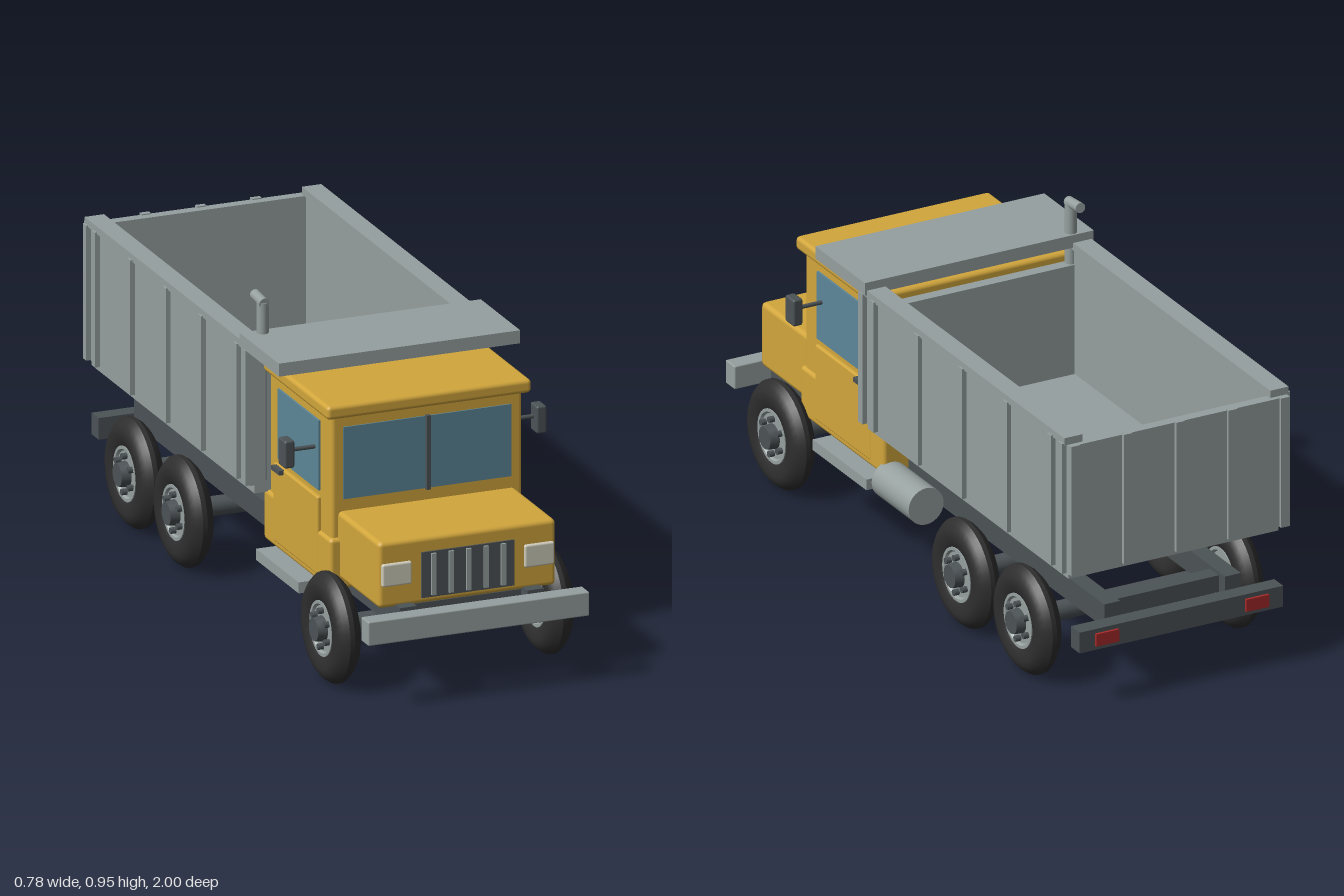
import * as THREE from 'three';
import { RoundedBoxGeometry } from 'three/addons/geometries/RoundedBoxGeometry.js';
import { toCreasedNormals } from 'three/addons/utils/BufferGeometryUtils.js';

export function createModel() {
  const truck = new THREE.Group();
  truck.name = 'dumpTruck';

  const paint = (name, color) => {
    const m = new THREE.MeshStandardMaterial({ color });
    m.name = name;
    return m;
  };
  const yellow = paint('cab yellow', 0xd2a63c);
  const grey = paint('body grey', 0x96a09f);
  const dark = paint('chassis grey', 0x4c5356);
  const rubber = paint('tyre black', 0x2e2e2e);
  const glass = paint('window blue', 0x5d8799);
  const cream = paint('headlamp cream', 0xd0cdbc);
  const red = paint('tail lamp red', 0xa82a2a);

  const add = (name, geo, mat, parent = truck) => {
    const m = new THREE.Mesh(geo, mat);
    m.name = name;
    parent.add(m);
    return m;
  };
  // box from its limits on each axis; r rounds the edges
  const box = (name, mat, [x0, x1], [y0, y1], [z0, z1], r = 0) => {
    const s = [x1 - x0, y1 - y0, z1 - z0];
    const geo = r ? new RoundedBoxGeometry(...s, 2, r) : new THREE.BoxGeometry(...s);
    const m = add(name, geo, mat);
    m.position.set((x0 + x1) / 2, (y0 + y1) / 2, (z0 + z1) / 2);
    return m;
  };
  // the same box on both sides
  const pair = (name, mat, [x0, x1], y, z, r) => {
    box(name + 'Left', mat, [x0, x1], y, z, r);
    box(name + 'Right', mat, [-x1, -x0], y, z, r);
  };
  // cylinder between two points
  const rod = (name, mat, a, b, r, sides = 20) => {
    const p = new THREE.Vector3(...a), q = new THREE.Vector3(...b);
    const d = q.clone().sub(p);
    const m = add(name, new THREE.CylinderGeometry(r, r, d.length(), sides), mat);
    m.position.copy(p).add(q).multiplyScalar(0.5);
    m.quaternion.setFromUnitVectors(new THREE.Vector3(0, 1, 0), d.normalize());
    return m;
  };

  // chassis frame
  pair('frameRail', dark, [0.165, 0.215], [0.21, 0.28], [-0.94, 0.95]);
  for (const z of [-0.88, -0.52, -0.12, 0.88]) {
    box('crossMember', dark, [-0.17, 0.17], [0.22, 0.27], [z - 0.025, z + 0.025]);
  }
  box('frontBumper', grey, [-0.33, 0.33], [0.2, 0.27], [0.947, 1], 0.004);
  box('rearBumper', dark, [-0.32, 0.32], [0.175, 0.238], [-0.99, -0.94]);
  pair('tailLamp', red, [0.2, 0.272], [0.188, 0.225], [-0.998, -0.989]);
  pair('step', grey, [0.2, 0.33], [0.195, 0.227], [0.2, 0.505]);
  rod('fuelTank', grey, [0.27, 0.225, -0.03], [0.27, 0.225, 0.18], 0.055, 28);

  // wheels and axles: profiles are [radius, width]
  const lathe = (pts) => toCreasedNormals(
    new THREE.LatheGeometry(pts.map(([r, y]) => new THREE.Vector2(r, y)), 36), 0.6);
  const tyreGeo = lathe([[0.076, -0.026], [0.09, -0.034], [0.115, -0.037], [0.13, -0.035],
    [0.146, -0.022], [0.157, -0.007], [0.157, 0.007], [0.146, 0.022], [0.13, 0.035],
    [0.115, 0.037], [0.09, 0.034], [0.076, 0.026], [0.076, -0.026]]);
  const rimGeo = lathe([[0, -0.02], [0.065, -0.02], [0.07, -0.031], [0.079, -0.031],
    [0.079, 0.031], [0.07, 0.031], [0.065, 0.024], [0, 0.024]]);
  const capGeo = new THREE.CylinderGeometry(0.033, 0.037, 0.032, 20);
  const boltGeo = new THREE.CylinderGeometry(0.009, 0.009, 0.02, 10);
  for (const z of [0.705, -0.342, -0.69]) {
    rod('axle', dark, [-0.305, 0.163, z], [0.305, 0.163, z], 0.028);
    for (const s of [1, -1]) {
      const wheel = new THREE.Group();
      wheel.name = 'wheel';
      wheel.position.set(s * 0.318, 0.16, z);
      wheel.rotation.z = -s * Math.PI / 2;
      add('tyre', tyreGeo, rubber, wheel);
      add('rim', rimGeo, grey, wheel);
      add('hubCap', capGeo, dark, wheel).position.y = 0.036;
      for (let i = 0; i < 6; i++) {
        const a = i * Math.PI / 3;
        add('wheelBolt', boltGeo, dark, wheel)
          .position.set(0.052 * Math.cos(a), 0.03, 0.052 * Math.sin(a));
      }
      truck.add(wheel);
    }
  }

  // bonnet, grille and headlamps
  box('bonnet', yellow, [-0.265, 0.265], [0.272, 0.465], [0.58, 0.918], 0.014);
  box('grille', dark, [-0.138, 0.138], [0.29, 0.423], [0.9, 0.923]);
  for (let i = -2; i <= 2; i++) {
    box('grilleBar', grey, [i * 0.052 - 0.007, i * 0.052 + 0.007], [0.297, 0.418], [0.92, 0.93]);
  }
  pair('headlamp', cream, [0.168, 0.257], [0.337, 0.403], [0.905, 0.927], 0.006);

  // cab
  box('cabBody', yellow, [-0.285, 0.285], [0.25, 0.75], [0.19, 0.63], 0.012);
  box('cabSkirt', yellow, [-0.294, 0.294], [0.242, 0.39], [0.168, 0.642], 0.012);
  box('cabRoof', yellow, [-0.305, 0.305], [0.74, 0.78], [0.19, 0.65], 0.012);
  pair('doorPanel', yellow, [0.27, 0.296], [0.26, 0.488], [0.24, 0.555], 0.006);
  box('windscreen', glass, [-0.25, 0.25], [0.5, 0.71], [0.627, 0.634]);
  box('windscreenDivider', dark, [-0.006, 0.006], [0.497, 0.713], [0.63, 0.643]);
  pair('sideWindow', glass, [0.283, 0.291], [0.505, 0.708], [0.26, 0.552]);
  pair('doorHandle', dark, [0.292, 0.309], [0.474, 0.487], [0.258, 0.315]);
  pair('mirror', dark, [0.361, 0.391], [0.58, 0.66], [0.503, 0.552], 0.006);
  for (const s of [1, -1]) {
    rod('mirrorArm', dark, [s * 0.28, 0.625, 0.525], [s * 0.37, 0.625, 0.525], 0.006, 10);
  }

  // exhaust stack with its bent tip
  rod('exhaustStack', grey, [-0.3, 0.42, 0.177], [-0.3, 0.935, 0.177], 0.017);
  rod('exhaustTip', grey, [-0.3, 0.934, 0.19], [-0.3, 0.94, 0.122], 0.015);

  // tipping body
  box('bodyFloor', grey, [-0.33, 0.33], [0.385, 0.425], [-0.945, 0.19]);
  pair('bodySide', grey, [0.3, 0.345], [0.41, 0.805], [-0.96, 0.195]);
  pair('bodyTopRail', grey, [0.295, 0.353], [0.8, 0.822], [-0.962, 0.195]);
  box('bodyFrontWall', grey, [-0.31, 0.31], [0.41, 0.755], [0.155, 0.192]);
  box('cabGuard', grey, [-0.36, 0.36], [0.808, 0.846], [0.155, 0.435]);
  box('tailgate', grey, [-0.345, 0.345], [0.412, 0.8], [-0.976, -0.945]);
  for (const z of [0.183, 0.12, -0.131, -0.382, -0.635, -0.885, -0.948]) {
    pair('sideRib', grey, [0.34, 0.359], [0.412, 0.805], [z - 0.012, z + 0.012]);
  }
  for (const x of [-0.33, -0.165, 0, 0.165, 0.33]) {
    box('tailgateRib', grey, [x - 0.014, x + 0.014], [0.412, 0.803], [-0.986, -0.97]);
  }
  for (const s of [1, -1]) {
    rod('bodyHinge', grey, [s * 0.17, 0.39, -0.87], [s * 0.24, 0.39, -0.87], 0.027, 16);
  }

  // hydraulic lift
  rod('liftCylinder', dark, [0, 0.255, 0.1], [0, 0.38, -0.16], 0.028);
  rod('liftPiston', grey, [0, 0.37, -0.14], [0, 0.42, -0.245], 0.018);

  return truck;
}
